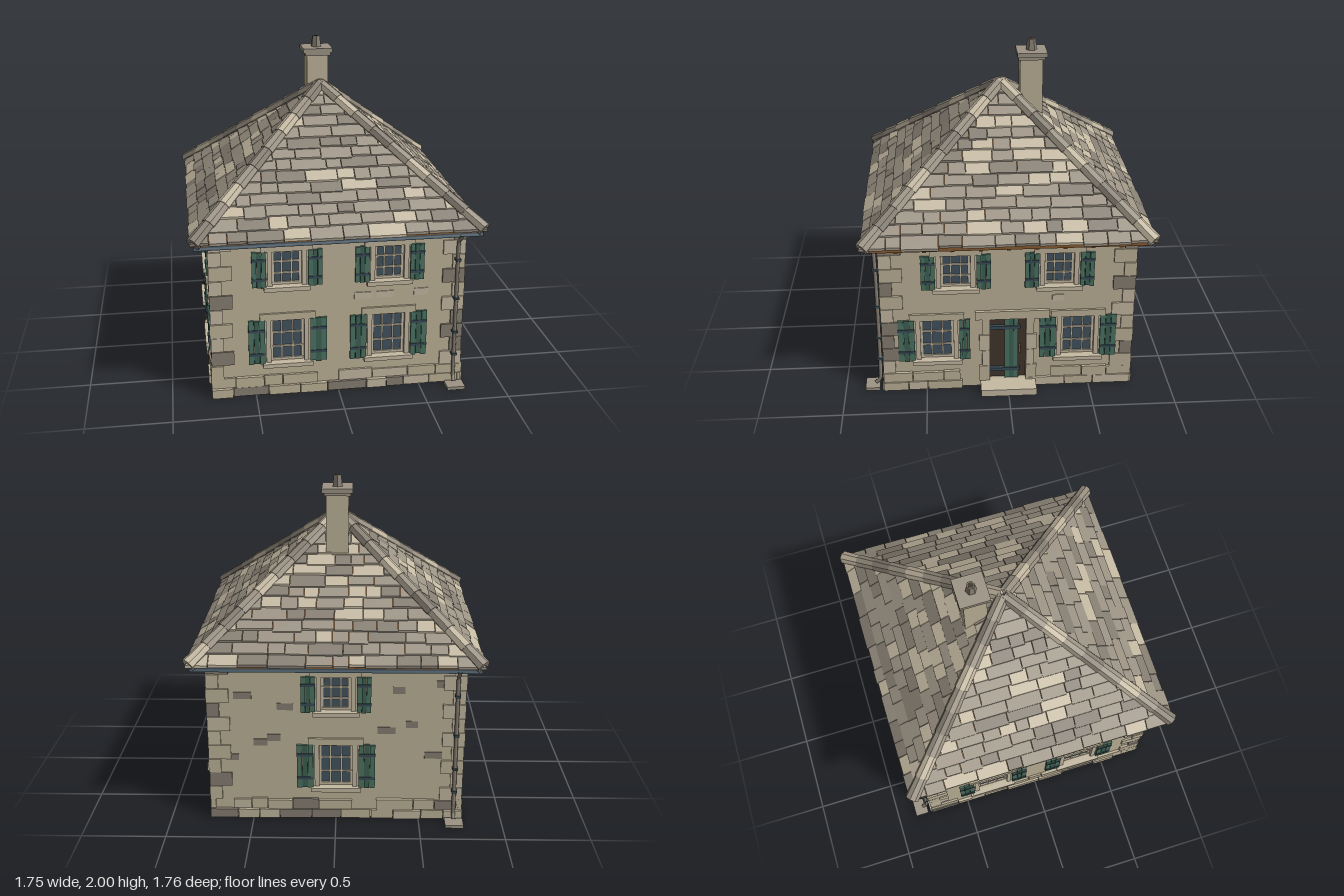
import * as THREE from 'three';
import { mergeGeometries } from 'three/addons/utils/BufferGeometryUtils.js';

const material = (name, color) => {
  const m = new THREE.MeshStandardMaterial({ color });
  m.name = name;
  return m;
};
const M = {
  wall: material('limewash', 0xbfb499),
  light: material('paleStone', 0xc6baa3),
  mid: material('slateStone', 0x9d9485),
  dark: material('darkStone', 0x877f73),
  glass: material('windowGlass', 0x42545f),
  green: material('shutterGreen', 0x4c7463),
  deep: material('deepGreen', 0x3d6153),
  iron: material('iron', 0x3a4c58),
  timber: material('timber', 0x8a5c30),
  brown: material('darkTimber', 0x40362c),
};
M.glass.side = M.timber.side = M.iron.side = THREE.DoubleSide;

const HALF = 0.75;            // outer wall face
const EAVE = 0.86, PITCH = 0.83, APEX = 1.72;
const roofY = d => APEX - PITCH * d;
const clamp = THREE.MathUtils.clamp;

let seed = 11;
const rnd = (a = 0, b = 1) => {
  seed = (seed * 16807) % 2147483647;
  return a + (b - a) * seed / 2147483647;
};
const pick = (light, dark, base = M.mid) => {
  const r = rnd();
  return r < light ? M.light : r < light + dark ? M.dark : base;
};

export function createModel() {
  const model = new THREE.Group();
  model.name = 'stoneHouse';
  const parts = new Map();
  const frame = new THREE.Matrix4();   // local frame: x along the wall, z outward

  // Collect geometry by part name and colour
  const put = (name, mat, geo) => {
    const g = geo.index ? geo.toNonIndexed() : geo;
    g.deleteAttribute('uv');
    g.applyMatrix4(frame);
    const key = name + mat.name;
    if (!parts.has(key)) parts.set(key, { name, mat, list: [] });
    parts.get(key).list.push(g);
  };
  // Box from its minimum and maximum corners
  const box = (name, mat, x0, x1, y0, y1, z0, z1) =>
    put(name, mat, new THREE.BoxGeometry(x1 - x0, y1 - y0, z1 - z0)
      .translate((x0 + x1) / 2, (y0 + y1) / 2, (z0 + z1) / 2));

  const shutter = (x0, x1, y0, y1) => {
    const n = 3, w = (x1 - x0) / n;
    for (let i = 0; i < n; i++) {
      box('shutter', i === 1 ? M.deep : M.green, x0 + i * w + 0.001, x0 + (i + 1) * w - 0.001,
        y0 - rnd(0, 0.01), y1 + rnd(0, 0.008), HALF + 0.003, HALF + 0.017);
    }
    for (const t of [0.22, 0.78]) {
      const y = y0 + (y1 - y0) * t;
      box('shutterStrap', M.iron, x0, x1, y - 0.008, y + 0.008, HALF + 0.015, HALF + 0.022);
    }
  };

  const windowUnit = ({ u, y0, y1, w, sl = 0.085, sr = 0.085 }) => {
    const a = u - w / 2, b = u + w / 2, z = HALF - 0.018;
    box('windowGlass', M.glass, a, b, y0, y1, HALF - 0.032, HALF - 0.026);
    // Sash frame and glazing bars
    for (let i = 0; i <= 3; i++) {
      const t = i === 0 || i === 3 ? 0.008 : 0.005;
      const x = clamp(a + w * i / 3, a + t, b - t);
      const y = clamp(y0 + (y1 - y0) * i / 3, y0 + t, y1 - t);
      box('glazingBar', M.light, x - t, x + t, y0, y1, z - 0.01, z);
      box('glazingBar', M.light, a, b, y - t, y + t, z - 0.01, z + 0.002);
    }
    // Stone surround
    for (const [p, q] of [[a - 0.028, a], [b, b + 0.028]])
      box('windowJamb', M.light, p, q, y0, y1, HALF - 0.02, HALF + 0.008);
    box('windowLintel', M.wall, a - 0.065, b + 0.065, y1, y1 + 0.045, HALF - 0.02, HALF + 0.014);
    box('windowSill', M.light, a - 0.05, b + 0.05, y0 - 0.026, y0, HALF - 0.02, HALF + 0.035);
    shutter(a - 0.035 - sl, a - 0.035, y0, y1);
    shutter(b + 0.035, b + 0.035 + sr, y0, y1);
  };

  const door = () => {
    box('doorFrame', M.brown, -0.11, 0.11, 0.045, 0.485, HALF - 0.038, HALF - 0.026);
    for (let i = 0; i < 3; i++)
      box('doorPlank', i === 1 ? M.deep : M.green, -0.02 + i * 0.028, 0.007 + i * 0.028, 0.045, 0.485, HALF - 0.026, HALF - 0.01);
    for (const y of [0.11, 0.41]) box('doorStrap', M.iron, -0.11, 0.075, y - 0.011, y + 0.011, HALF - 0.026, HALF - 0.004);
    box('doorHandle', M.timber, 0.066, 0.078, 0.235, 0.275, HALF - 0.026, HALF + 0.004);
    for (const s of [-1, 1]) for (let i = 0; i < 4; i++) {
      const e = s * (i % 2 ? 0.158 : 0.175), y = 0.045 + i * 0.11;
      box('doorSurround', i % 3 ? M.light : M.wall, Math.min(s * 0.11, e), Math.max(s * 0.11, e), y, y + 0.107, HALF - 0.03, HALF + 0.014);
    }
    box('doorLintel', M.wall, -0.2, 0.25, 0.485, 0.54, HALF - 0.02, HALF + 0.02);
    box('doorStep', M.light, -0.17, 0.17, 0, 0.045, HALF - 0.03, 0.87);
  };

  const upper = u => ({ u, y0: 0.705, y1: 0.922, w: 0.175 });
  const lower = (u, more) => ({ u, y0: 0.21, y1: 0.485, w: 0.2, sl: 0.1, sr: 0.1, ...more });
  const pairs = [upper(-0.305), upper(0.305), lower(-0.305), lower(0.305)];
  const sides = [
    { windows: pairs, stones: [[0.15, 0.61], [0.28, 0.61], [0.5, 0.615]], gutter: true },
    { windows: [upper(-0.31), upper(0.305), lower(-0.43, { sr: 0.065 }), lower(0.425)], stones: [[0.3, 0.615]], door: true },
    { windows: [upper(0), lower(0)], gutter: true, stoneMat: M.dark,
      stones: [[-0.37, 0.53], [-0.45, 0.5], [-0.3, 0.73], [-0.62, 0.4], [0.37, 0.84], [0.64, 0.88], [0.3, 0.58], [0.45, 0.62], [0.58, 0.42], [-0.55, 0.8]] },
    { windows: pairs, stones: [[-0.05, 0.6], [0.45, 0.61]] },
  ];

  sides.forEach((side, k) => {
    frame.makeRotationY(k * Math.PI / 2);

    // Wall panel with openings
    const shape = new THREE.Shape([[-HALF, 0], [HALF, 0], [HALF, 1.02], [-HALF, 1.02]].map(p => new THREE.Vector2(...p)));
    const hole = (a, b, y0, y1) => shape.holes.push(new THREE.Path([[a, y0], [a, y1], [b, y1], [b, y0]].map(p => new THREE.Vector2(...p))));
    side.windows.forEach(o => hole(o.u - o.w / 2, o.u + o.w / 2, o.y0, o.y1));
    if (side.door) hole(-0.11, 0.11, 0.045, 0.485);
    put('wall', M.wall, new THREE.ExtrudeGeometry(shape, { depth: 0.04, bevelEnabled: false }).translate(0, 0, HALF - 0.04));
    side.windows.forEach(windowUnit);
    if (side.door) door();
    for (const [u, y] of side.stones) {
      const w = rnd(0.035, 0.055);
      box('wallStone', side.stoneMat || M.light, u - w, u + w, y - 0.02, y + 0.022, HALF - 0.01, HALF + 0.006);
    }

    // Plinth stones in two courses
    for (let row = 0; row < 2; row++) {
      for (let u = -HALF - 0.015; u < HALF;) {
        const e = Math.min(u + rnd(0.09, 0.24), HALF + 0.015);
        const blocked = side.door && e > -0.11 && u < 0.11;
        if (!blocked && (row === 0 || rnd() > 0.15))
          box('plinthStone', pick(0.35, 0.15, M.wall), u + 0.002, e - 0.002, row * 0.06,
            row * 0.06 + 0.056 + row * rnd(0, 0.015), HALF - 0.02, HALF + rnd(0.015, 0.028) - row * 0.006);
        u = e;
      }
    }

    // Corner quoins, long and short in turn
    for (let i = 0; i < 10; i++) {
      const long = i % 2 === 0, y = 0.12 + i * 0.091, o = HALF + 0.01 + rnd(0, 0.006);
      box('quoin', pick(0.3, 0.35, M.wall), o - (long ? 0.135 : 0.075), o, y, y + 0.087, o - (long ? 0.075 : 0.135), o);
    }

    // Slate courses, trimmed along the hips
    for (let row = 0; row < 14; row++) {
      const base = EAVE - row * 0.06;
      for (let u = -base; u < base - 0.001;) {
        let e = u + rnd(0.08, 0.22);
        if (e > base - 0.05) e = base;
        const u0 = u, u1 = e - 0.003, low = base + rnd(-0.006, 0.006), top = Math.max(base - 0.075, 0);
        const lift = rnd(0.009, 0.015);
        const geo = new THREE.BoxGeometry(1, 1, 1), p = geo.attributes.position;
        for (let i = 0; i < p.count; i++) {
          const front = p.getZ(i) > 0, d = front ? low : top;
          p.setXYZ(i, clamp(p.getX(i) > 0 ? u1 : u0, -d, d),
            roofY(d) + (front ? lift : 0.001) + (p.getY(i) > 0 ? 0.016 : 0), d);
        }
        geo.computeVertexNormals();
        put('roofSlate', pick(0.22, 0.25), geo);
        u = e;
      }
    }

    // Hip ridge caps
    const hipDir = new THREE.Vector3(1, -PITCH, 1).normalize();
    const turn = new THREE.Quaternion().setFromUnitVectors(new THREE.Vector3(0, -1, 0), hipDir);
    for (let i = 0; i < 9; i++) {
      const a = 0.84 * i / 9, d = a + 0.047;
      const cap = new THREE.CylinderGeometry(0.039, 0.044, 0.163, 8).toNonIndexed();
      cap.computeVertexNormals();
      put('hipCap', [M.mid, M.light, M.mid, M.dark][(i + k) % 4],
        cap.applyQuaternion(turn).translate(d, roofY(d) + 0.006, d));
    }

    // Rafter tails, then gutter with downpipe or timber fascia
    for (let i = -4; i <= 4; i++)
      box('rafterTail', M.timber, i * 0.163 - 0.011, i * 0.163 + 0.011, 0.982, 1.006, HALF - 0.03, 0.825);
    box('eaveBoard', M.timber, -0.83, 0.83, 1.006, 1.014, HALF - 0.01, 0.835);
    if (side.gutter) {
      put('gutter', M.iron, new THREE.CylinderGeometry(0.018, 0.018, 1.68, 10, 1, true, Math.PI / 2, Math.PI)
        .rotateZ(Math.PI / 2).rotateX(Math.PI / 2).rotateX(-Math.PI / 2).translate(0, 1.005, 0.85));
      const path = new THREE.CatmullRomCurve3([[1, 0.85], [0.97, 0.83], [0.94, 0.79], [0.9, 0.786], [0.1, 0.786], [0.05, 0.79], [0.025, 0.815]]
        .map(([y, z]) => new THREE.Vector3(0.71, y, z)), false, 'centripetal');
      put('downpipe', M.dark, new THREE.TubeGeometry(path, 40, 0.012, 8));
      for (const y of [0.2, 0.35, 0.57, 0.82]) box('pipeBracket', M.iron, 0.694, 0.726, y - 0.006, y + 0.006, HALF, 0.802);
      box('splashStone', M.mid, 0.655, 0.765, 0, 0.02, 0.79, 0.878);
    } else {
      box('fascia', M.timber, -0.83, 0.83, 0.996, 1.018, 0.828, 0.84);
    }
  });

  // Roof boarding under the slates
  frame.identity();
  const d = 0.84;
  put('roofBoarding', M.timber, new THREE.ConeGeometry(d * Math.SQRT2, PITCH * d, 4, 1, true)
    .rotateY(Math.PI / 4).translate(0, APEX - PITCH * d / 2 - 0.006, 0));

  // Chimney with cap and pot
  box('chimneyStack', M.wall, -0.068, 0.068, 1.48, 1.9, -0.257, -0.117);
  box('chimneyCap', M.mid, -0.08, 0.08, 1.885, 1.905, -0.27, -0.105);
  box('chimneyCap', M.mid, -0.093, 0.093, 1.905, 1.932, -0.282, -0.098);
  const pot = new THREE.CylinderGeometry(0.026, 0.034, 0.07, 6).toNonIndexed();
  pot.computeVertexNormals();
  put('chimneyPot', M.dark, pot.translate(0, 1.965, -0.19));
  put('chimneyPotMouth', M.brown, new THREE.CylinderGeometry(0.018, 0.018, 0.004, 6).translate(0, 1.999, -0.19));

  for (const { name, mat, list } of parts.values()) {
    const mesh = new THREE.Mesh(mergeGeometries(list), mat);
    mesh.name = name;
    model.add(mesh);
  }
  return model;
}
